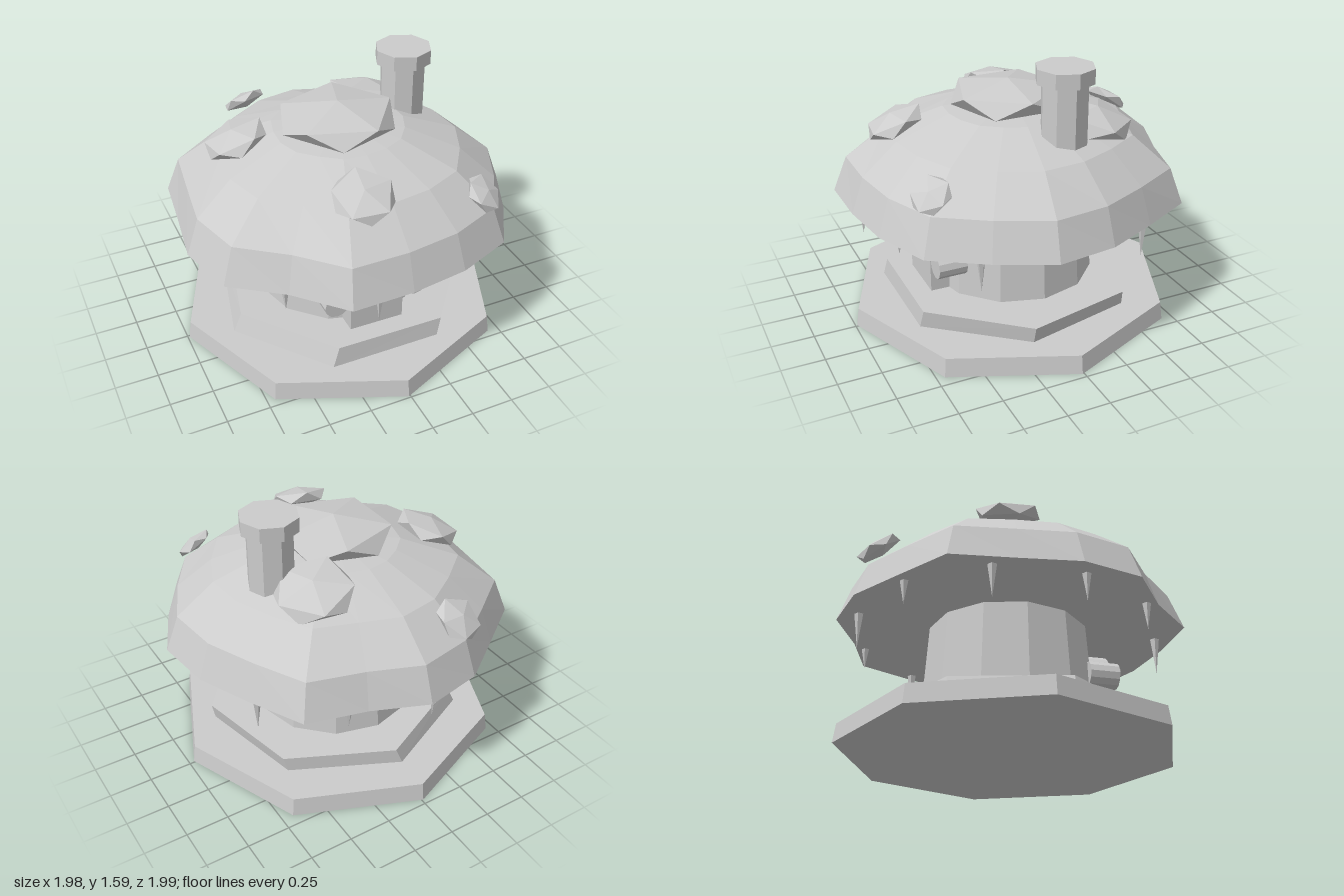
import * as THREE from 'three';

const mat = new THREE.MeshStandardMaterial({ color: 0xcccccc, flatShading: true });

function add(parent, name, geometry, x = 0, y = 0, z = 0) {
  const mesh = new THREE.Mesh(geometry, mat);
  mesh.name = name;
  mesh.position.set(x, y, z);
  parent.add(mesh);
  return mesh;
}

// Moves every vertex by a rule
function warp(geometry, rule) {
  const p = geometry.attributes.position;
  const v = new THREE.Vector3();
  for (let i = 0; i < p.count; i++) {
    rule(v.fromBufferAttribute(p, i));
    p.setXYZ(i, v.x, v.y, v.z);
  }
  geometry.computeVertexNormals();
  return geometry;
}

// Uneven rim of the cap: one radius every 20 degrees, starting at 10
const RIM = [1.01, 0.98, 1.03, 0.98, 0.97, 1.04, 0.94, 1.03, 1.0,
  0.955, 1.04, 0.955, 0.99, 1.0, 0.925, 1.02, 0.94, 0.965];

function unevenRim(v) {
  const r = Math.hypot(v.x, v.z);
  const step = Math.round((THREE.MathUtils.radToDeg(Math.atan2(v.z, v.x)) - 10) / 20);
  const k = 1 + (RIM[(step + 36) % 18] - 1) * r;
  v.x *= k;
  v.z *= k;
}

export function createModel() {
  const model = new THREE.Group();
  model.name = 'mushroomHouse';

  // Stepped ground slabs; the upper one is skewed
  add(model, 'groundSlab', new THREE.CylinderGeometry(0.965, 0.98, 0.11, 8), -0.01, 0.055, 0.01);
  const step = new THREE.CylinderGeometry(0.75, 0.765, 0.1, 7);
  step.rotateY(Math.PI / 7);
  warp(step, v => {
    if (v.y > 0) {
      v.x += 0.035;
      v.y += 0.005 - 0.012 * v.x + 0.012 * v.z;
    }
  });
  add(model, 'upperSlab', step, -0.015, 0.16, 0.02);

  // Stem
  add(model, 'stem', new THREE.CylinderGeometry(0.465, 0.505, 0.6, 12), -0.01, 0.46, 0.005);

  // Arched door
  const arch = new THREE.Shape();
  arch.moveTo(-0.165, 0.19);
  arch.lineTo(0.165, 0.19);
  arch.lineTo(0.165, 0.47);
  arch.absarc(0, 0.465, 0.165, 0, Math.PI, false);
  arch.lineTo(-0.165, 0.19);
  add(model, 'door', new THREE.ExtrudeGeometry(arch, { depth: 0.15, bevelEnabled: false, curveSegments: 8 }),
    -0.015, 0, 0.425);

  // Round windows
  for (const side of [-1, 1]) {
    const pane = new THREE.CylinderGeometry(0.075, 0.075, 0.17, 12).rotateX(Math.PI / 2);
    add(model, 'window', pane, -0.015 + side * 0.248, 0.425, 0.49);
  }

  // Cap with a flat underside
  const cap = new THREE.Group();
  cap.name = 'cap';
  model.add(cap);
  const dome = new THREE.SphereGeometry(1, 18, 4, 0, Math.PI * 2, 0, Math.PI / 2);
  dome.rotateY(Math.PI / 18);
  add(cap, 'dome', warp(dome, unevenRim).scale(1, 0.55, 1), 0, 0.735, 0);
  const under = new THREE.CircleGeometry(1, 18).rotateX(Math.PI / 2).rotateY(Math.PI / 18);
  add(cap, 'underside', warp(under, unevenRim), 0, 0.735, 0);

  // Flattened warts lying on the dome: x, y, z, radius
  const warts = [
    [-0.01, 1.3, 0.01, 0.37], [0.34, 1.215, -0.36, 0.245], [-0.29, 1.065, -0.81, 0.145],
    [-0.575, 1.215, -0.13, 0.2], [-0.15, 1.185, 0.65, 0.19], [0.555, 1.04, 0.7, 0.125],
  ];
  const up = new THREE.Vector3(0, 1, 0);
  warts.forEach(([x, y, z, r], i) => {
    const blob = new THREE.IcosahedronGeometry(r, 0);
    blob.rotateZ(-Math.atan(2 / (1 + Math.sqrt(5)))); // one corner straight up
    blob.rotateY(i * 1.3).scale(1, i ? 0.32 : 0.27, 1);
    const normal = new THREE.Vector3(x, (y - 0.735) / 0.3, z).normalize();
    add(cap, 'wart', blob, x, y, z).quaternion.setFromUnitVectors(up, normal);
  });

  // Spikes hanging under the rim, listed by the height of their tips
  const tips = [0.66, 0.515, 0.62, 0.52, 0.58, 0.58, 0.55, 0.6, 0.53, 0.61, 0.52];
  tips.forEach((tip, i) => {
    const a = (i / tips.length) * Math.PI * 2 + 0.03;
    const h = 0.8 - tip;
    const spike = new THREE.ConeGeometry(0.036, h, 5).rotateX(Math.PI);
    add(cap, 'spike', spike, 0.885 * Math.cos(a), tip + h / 2, 0.885 * Math.sin(a));
  });

  // Chimney
  add(model, 'chimneyShaft', new THREE.CylinderGeometry(0.133, 0.133, 0.86, 8), 0.46, 1.095, -0.11);
  add(model, 'chimneyTop', new THREE.CylinderGeometry(0.166, 0.166, 0.085, 8), 0.46, 1.548, -0.11);

  return model;
}
